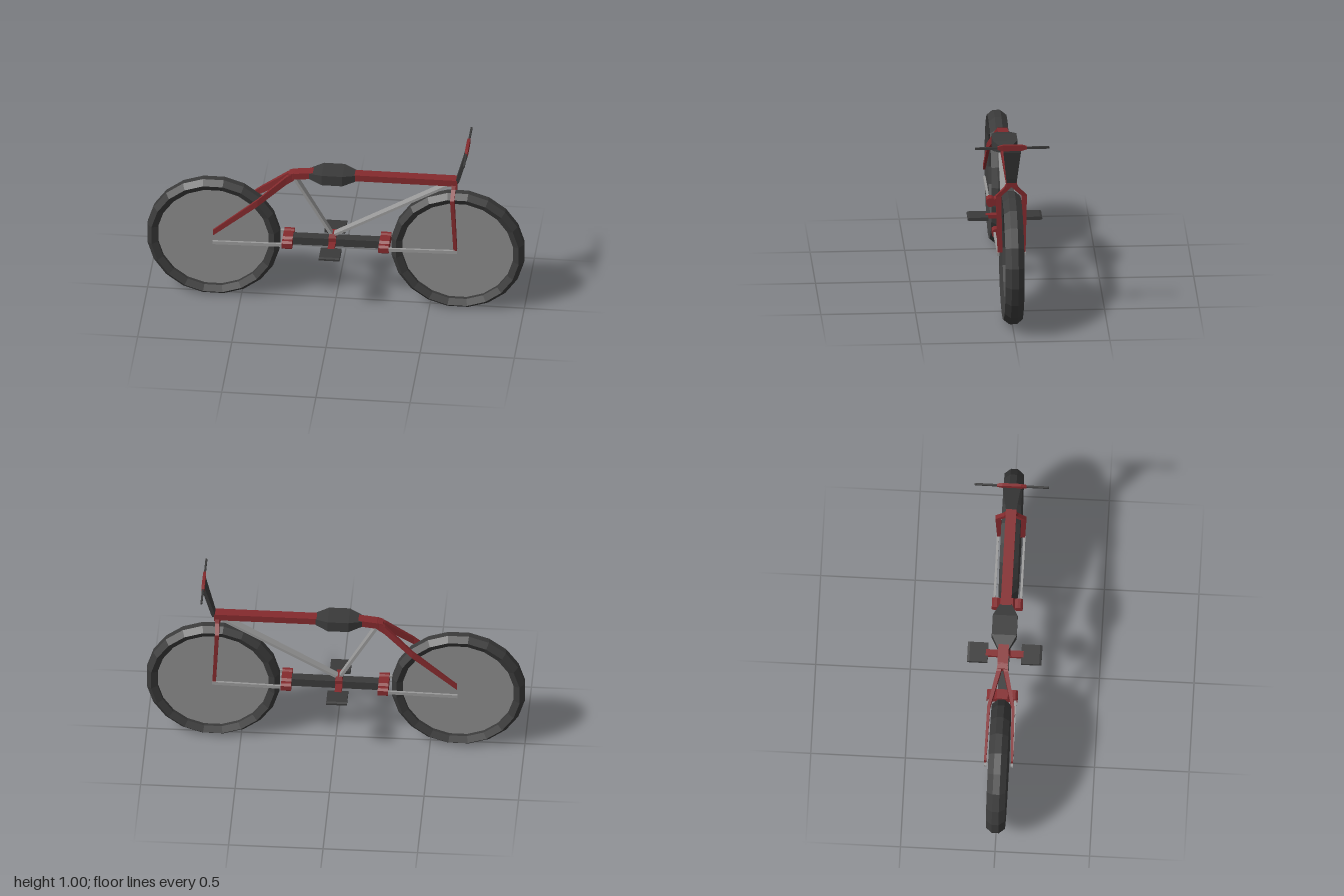
import * as THREE from 'three';

const material = (color) => new THREE.MeshStandardMaterial({ color, flatShading: true });
const red = material(0x842a2d);
const dark = material(0x3a3a3a);
const steel = material(0x999999);
const discGrey = material(0x8a8a8a);

// Beam through rectangular sections [x, y, z, halfU, halfV] lying across one axis.
// axis 0: u = y, v = z   axis 1: u = z, v = x   axis 2: u = x, v = y
function beam(axis, sections) {
  const u = (axis + 1) % 3, v = (axis + 2) % 3;
  const ordered = sections[0][axis] < sections.at(-1)[axis] ? sections : [...sections].reverse();
  const pos = [], index = [];
  for (const s of ordered) {
    for (const [a, b] of [[1, 1], [-1, 1], [-1, -1], [1, -1]]) {
      const p = s.slice(0, 3);
      p[u] += a * s[3];
      p[v] += b * s[4];
      pos.push(...p);
    }
  }
  const quad = (a, b, c, d) => index.push(a, b, c, a, c, d);
  for (let i = 0; i < ordered.length - 1; i++) {
    for (let j = 0; j < 4; j++) {
      const k = (j + 1) % 4, o = i * 4;
      quad(o + j, o + k, o + 4 + k, o + 4 + j);
    }
  }
  const e = (ordered.length - 1) * 4;
  quad(0, 3, 2, 1);
  quad(e, e + 1, e + 2, e + 3);
  const g = new THREE.BufferGeometry();
  g.setAttribute('position', new THREE.Float32BufferAttribute(pos, 3));
  g.setIndex(index);
  const flat = g.toNonIndexed();
  flat.computeVertexNormals();
  return flat;
}

export function createModel() {
  const model = new THREE.Group();
  model.name = 'bicycle';

  const add = (name, geometry, mat, parent = model) => {
    const mesh = new THREE.Mesh(geometry, mat);
    mesh.name = name;
    parent.add(mesh);
    return mesh;
  };
  const addBeam = (name, mat, axis, sections) => add(name, beam(axis, sections), mat);
  // Same beam on the left and right side of the frame
  const addPair = (name, mat, axis, sections) => {
    for (const side of [1, -1]) {
      addBeam(name + (side > 0 ? 'Front' : 'Back'), mat, axis,
        sections.map(([x, y, z, a, b]) => [x, y, z * side, a, b]));
    }
  };

  // Wheels: bevelled 20-sided tyre around a thin solid disc
  const profile = [
    [0.297, -0.032], [0.33, -0.05], [0.3555, -0.018], [0.3555, 0.018],
    [0.33, 0.05], [0.297, 0.032], [0.297, -0.032],
  ].map(([r, z]) => new THREE.Vector2(r, z));
  const tyre = new THREE.LatheGeometry(profile, 20, Math.PI / 20).rotateX(Math.PI / 2);
  const disc = new THREE.CylinderGeometry(0.298, 0.298, 0.024, 20, 1, false, Math.PI / 20).rotateX(Math.PI / 2);
  for (const [name, x] of [['rearWheel', -0.649], ['frontWheel', 0.649]]) {
    const wheel = new THREE.Group();
    wheel.name = name;
    wheel.position.set(x, 0.351, 0);
    add('tyre', tyre, dark, wheel);
    add('disc', disc, discGrey, wheel);
    model.add(wheel);
  }

  // Top tube and saddle
  addBeam('topTube', red, 0, [
    [-0.25, 0.747, 0, 0.018, 0.026], [-0.225, 0.754, 0, 0.018, 0.028],
    [-0.12, 0.766, 0, 0.018, 0.028], [0.62, 0.768, 0, 0.018, 0.028],
    [0.645, 0.764, 0, 0.022, 0.028],
  ]);
  addBeam('saddle', dark, 0, [
    [-0.14, 0.764, 0, 0.016, 0.03], [-0.07, 0.765, 0, 0.029, 0.066],
    [0.04, 0.765, 0, 0.029, 0.066], [0.105, 0.766, 0, 0.018, 0.032],
  ]);

  // Rear stays and front fork, each splitting around its wheel
  addPair('rearStay', red, 0, [
    [-0.22, 0.752, 0.013, 0.022, 0.013], [-0.26, 0.728, 0.02, 0.023, 0.012],
    [-0.41, 0.602, 0.064, 0.02, 0.008], [-0.645, 0.408, 0.071, 0.016, 0.006],
  ]);
  addPair('forkBlade', red, 1, [
    [0.628, 0.755, 0.014, 0.014, 0.011], [0.627, 0.735, 0.022, 0.016, 0.011],
    [0.625, 0.69, 0.068, 0.014, 0.011], [0.64, 0.38, 0.061, 0.013, 0.009],
  ]);

  // Flat struts from the crank to the top tube
  addBeam('seatStrut', steel, 1, [[-0.018, 0.39, 0, 0.017, 0.009], [-0.222, 0.745, 0, 0.025, 0.009]]);
  addBeam('downStrut', steel, 0, [[-0.01, 0.398, 0, 0.008, 0.02], [0.61, 0.756, 0, 0.008, 0.025]]);

  // Lower beam with end brackets
  addBeam('lowerBeam', dark, 0, [[-0.27, 0.354, 0, 0.022, 0.026], [0.28, 0.36, 0, 0.022, 0.026]]);
  for (const [name, x, y] of [['rearBracket', -0.253, 0.354], ['frontBracket', 0.26, 0.36]]) {
    addBeam(name, red, 2, [
      [x, y, -0.082, 0.027, 0.014], [x, y, -0.07, 0.027, 0.024], [x, y, -0.055, 0.027, 0.024],
      [x, y, -0.04, 0.027, 0.016], [x, y, -0.029, 0.027, 0.028], [x, y, 0.029, 0.027, 0.028],
      [x, y, 0.04, 0.027, 0.016], [x, y, 0.055, 0.027, 0.024], [x, y, 0.07, 0.027, 0.024],
      [x, y, 0.082, 0.027, 0.014],
    ]);
  }
  addPair('rearRod', steel, 0, [[-0.648, 0.346, 0.07, 0.009, 0.006], [-0.25, 0.354, 0.07, 0.009, 0.006]]);
  addPair('frontRod', steel, 0, [[0.26, 0.36, 0.07, 0.009, 0.006], [0.65, 0.37, 0.07, 0.009, 0.006]]);

  // Crank and pedals
  addBeam('crankHub', red, 1, [
    [-0.017, 0.335, 0, 0.03, 0.018], [-0.017, 0.385, 0, 0.03, 0.02], [-0.017, 0.406, 0, 0.02, 0.016],
  ]);
  addBeam('crankAxle', red, 2, [[-0.017, 0.354, -0.1, 0.018, 0.01], [-0.017, 0.354, 0.1, 0.018, 0.01]]);
  addPair('pedal', dark, 2, [
    [-0.016, 0.354, 0.088, 0.055, 0.009], [-0.016, 0.354, 0.185, 0.055, 0.009],
    [-0.016, 0.354, 0.197, 0.055, 0.005],
  ]);

  // Stem widening up to the handlebar
  addBeam('stem', dark, 1, [
    [0.644, 0.77, 0, 0.026, 0.01], [0.652, 0.795, 0, 0.029, 0.01],
    [0.696, 0.955, 0, 0.046, 0.009], [0.699, 0.975, 0, 0.047, 0.007],
  ]);
  addBeam('handlebarClamp', red, 2, [
    [0.699, 0.982, -0.077, 0.007, 0.008], [0.699, 0.982, -0.05, 0.008, 0.016],
    [0.699, 0.982, 0.05, 0.008, 0.016], [0.699, 0.982, 0.077, 0.007, 0.008],
  ]);
  addPair('grip', dark, 2, [
    [0.699, 0.981, 0.07, 0.005, 0.006], [0.699, 0.981, 0.19, 0.005, 0.006],
    [0.699, 0.981, 0.197, 0.004, 0.004],
  ]);

  return model;
}
